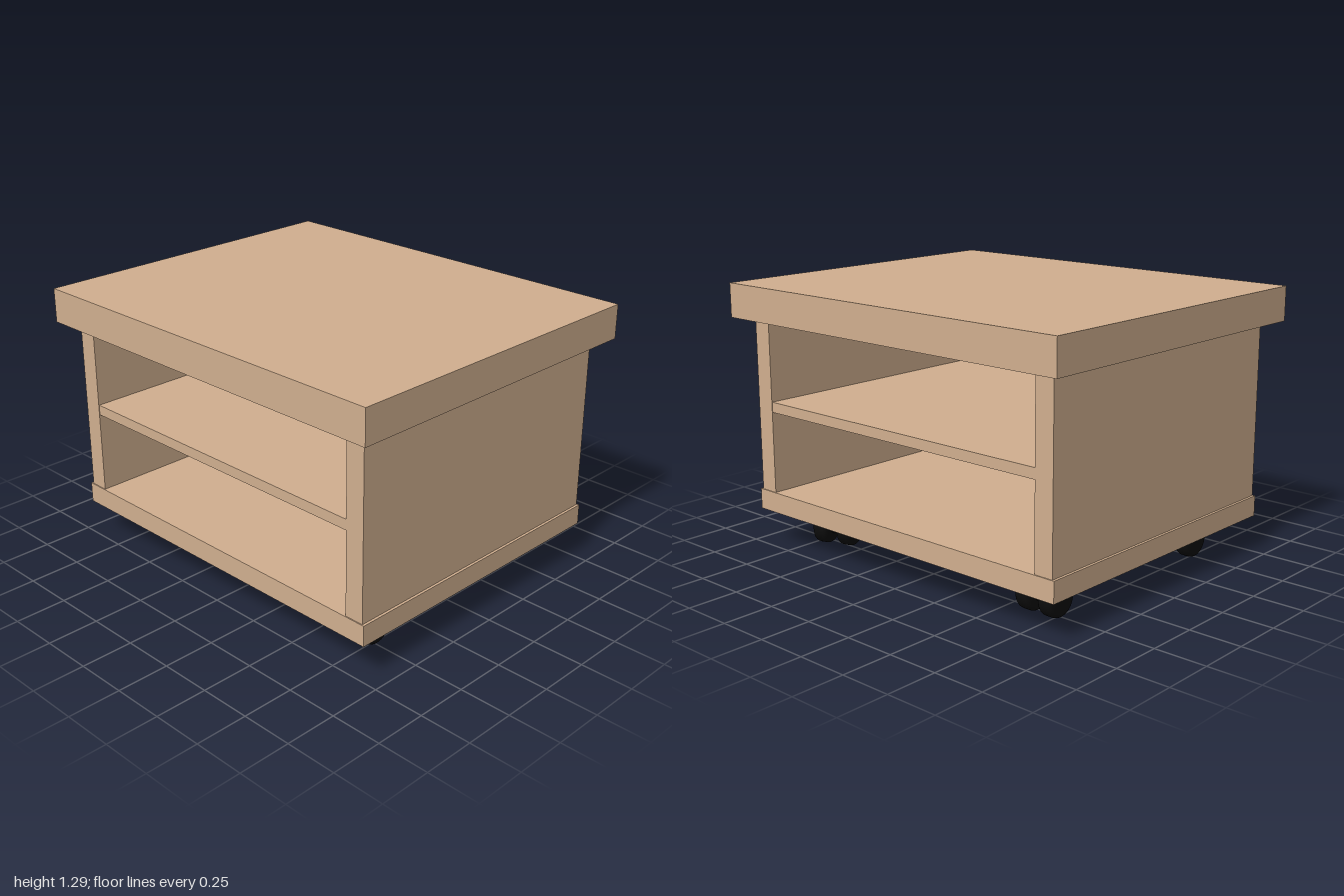
import * as THREE from 'three';

const wood = new THREE.MeshStandardMaterial({ color: 0xd2b090 });
const black = new THREE.MeshStandardMaterial({ color: 0x0d0d0d });

// Box given by its centre x, bottom and top y, width, depth
function board(name, x, y0, y1, width, depth) {
  const mesh = new THREE.Mesh(new THREE.BoxGeometry(width, y1 - y0, depth), wood);
  mesh.name = name;
  mesh.position.set(x, (y0 + y1) / 2, 0);
  return mesh;
}

// Wheel with rounded rims, axle along x
function wheelGeometry(radius, width) {
  const h = width / 2, r = 0.022;
  const profile = [new THREE.Vector2(0, -h)];
  for (let i = 0; i <= 4; i++) {
    const a = (i / 4) * Math.PI / 2;
    profile.push(new THREE.Vector2(radius - r + r * Math.sin(a), -h + r - r * Math.cos(a)));
  }
  for (let i = 0; i <= 4; i++) {
    const a = (i / 4) * Math.PI / 2;
    profile.push(new THREE.Vector2(radius - r + r * Math.cos(a), h - r + r * Math.sin(a)));
  }
  profile.push(new THREE.Vector2(0, h));
  return new THREE.LatheGeometry(profile, 32).rotateZ(-Math.PI / 2);
}

// Twin-wheel caster that swivels about its stem, wheels trailing to the rear
function caster(name, x, z, swivel) {
  const group = new THREE.Group();
  group.name = name;
  const radius = 0.084, trail = -0.06;

  const stem = new THREE.Mesh(new THREE.BoxGeometry(0.055, 0.095, 0.055), wood);
  stem.name = 'casterStem';
  stem.position.y = 0.1375;
  group.add(stem);

  const axle = new THREE.Mesh(new THREE.CylinderGeometry(0.035, 0.035, 0.07, 20).rotateZ(Math.PI / 2), black);
  axle.name = 'casterAxle';
  axle.position.set(0, radius, trail);
  group.add(axle);

  const geometry = wheelGeometry(radius, 0.078);
  for (const side of [-1, 1]) {
    const wheel = new THREE.Mesh(geometry, black);
    wheel.name = 'casterWheel';
    wheel.position.set(side * 0.063, radius, trail);
    group.add(wheel);
  }
  group.position.set(x, 0, z);
  group.rotation.y = swivel;
  return group;
}

export function createModel() {
  const model = new THREE.Group();
  model.name = 'rollingCabinet';

  // Carcass, open at front and back
  model.add(board('tabletop', 0, 1.13, 1.295, 2, 1.66));
  model.add(board('base', 0, 0.18, 0.28, 1.866, 1.51));
  model.add(board('shelf', 0, 0.68, 0.73, 1.65, 1.495));
  model.add(board('leftPanel', 0.873, 0.28, 1.13, 0.095, 1.5));
  model.add(board('rightPanel', -0.873, 0.28, 1.13, 0.095, 1.5));

  // Casters, one of them swivelled
  model.add(caster('frontLeftCaster', 0.677, 0.557, 0));
  model.add(caster('frontRightCaster', -0.677, 0.557, 0));
  model.add(caster('backLeftCaster', 0.677, -0.45, 0.37));
  model.add(caster('backRightCaster', -0.677, -0.45, 0));
  return model;
}
